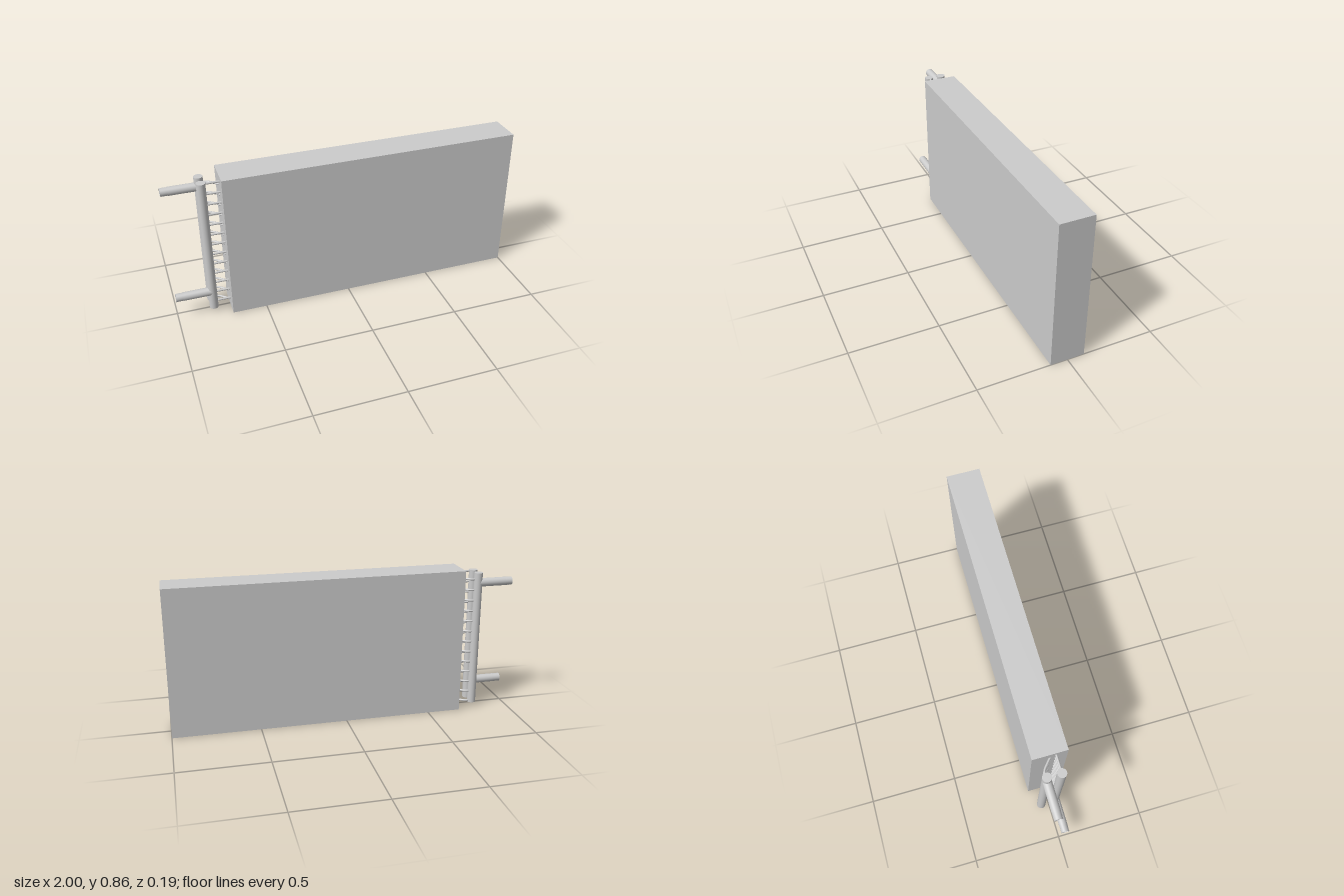
import * as THREE from 'three';

const grey = new THREE.MeshStandardMaterial({ color: 0xcccccc });
const greyThin = new THREE.MeshStandardMaterial({ color: 0xcccccc, side: THREE.DoubleSide });

const HEADER_X = -0.793, HEADER_R = 0.025;
const FRONT_Z = 0.033, BACK_Z = -0.045;
const FACE_X = -0.695; // connection face of the coil block

function addMesh(parent, name, geometry, x = 0, y = 0, z = 0, material = grey) {
  const mesh = new THREE.Mesh(geometry, material);
  mesh.name = name;
  mesh.position.set(x, y, z);
  parent.add(mesh);
  return mesh;
}

// Hollow pipe with a ridged thread at its open end, running from the header to x = -1
function pipeGeometry() {
  const length = 1 + HEADER_X, r = 0.0245, bore = 0.02, threadStart = length - 0.042;
  const points = [new THREE.Vector2(r, 0), new THREE.Vector2(r, threadStart)];
  const ridges = 7, pitch = 0.042 / ridges;
  for (let i = 0; i < ridges; i++) {
    const y = threadStart + i * pitch;
    points.push(new THREE.Vector2(r - 0.0025, y + pitch * 0.3));
    points.push(new THREE.Vector2(r, y + pitch * 0.75));
  }
  points.push(new THREE.Vector2(r - 0.002, length), new THREE.Vector2(bore, length));
  points.push(new THREE.Vector2(bore, 0.03), new THREE.Vector2(0, 0.03));
  return new THREE.LatheGeometry(points, 28).rotateZ(Math.PI / 2);
}

export function createModel() {
  const model = new THREE.Group();
  model.name = 'heatExchangerCoil';

  // Main block
  addMesh(model, 'coilBlock', new THREE.BoxGeometry(1 - FACE_X, 0.855, 0.192),
    (1 + FACE_X) / 2, 0.4275, 0);

  // Vertical headers
  const headerGeometry = new THREE.CylinderGeometry(HEADER_R, HEADER_R, 0.805, 28);
  addMesh(model, 'frontHeader', headerGeometry, HEADER_X, 0.4275, FRONT_Z);
  addMesh(model, 'backHeader', headerGeometry, HEADER_X, 0.4275, BACK_Z);

  // Threaded connection pipes: low on the front header, high on the back one
  const pipe = pipeGeometry();
  addMesh(model, 'lowerPipe', pipe, HEADER_X, 0.135, FRONT_Z, greyThin);
  addMesh(model, 'upperPipe', pipe, HEADER_X, 0.77, BACK_Z, greyThin);

  // Feeder tubes: straight from the front header, bent from the back header
  const straight = new THREE.LineCurve3(
    new THREE.Vector3(HEADER_X + 0.01, 0, FRONT_Z),
    new THREE.Vector3(FACE_X + 0.01, 0, FRONT_Z));
  const bent = new THREE.CatmullRomCurve3([
    [HEADER_X + 0.01, BACK_Z - 0.002], [-0.763, BACK_Z - 0.002], [-0.745, BACK_Z + 0.004],
    [-0.722, -0.023], [FACE_X, 0.001], [FACE_X + 0.008, 0.008],
  ].map(([x, z]) => new THREE.Vector3(x, 0, z)));
  const straightGeometry = new THREE.TubeGeometry(straight, 1, 0.006, 12);
  const bentGeometry = new THREE.TubeGeometry(bent, 16, 0.006, 12);
  const feeders = new THREE.Group();
  feeders.name = 'feederTubes';
  model.add(feeders);
  for (let i = 0; i < 26; i++) {
    const y = 0.823 - i * 0.0316;
    if (i % 2 === 0) addMesh(feeders, 'straightFeeder', straightGeometry, 0, y, 0);
    else addMesh(feeders, 'bentFeeder', bentGeometry, 0, y, 0);
  }

  return model;
}
